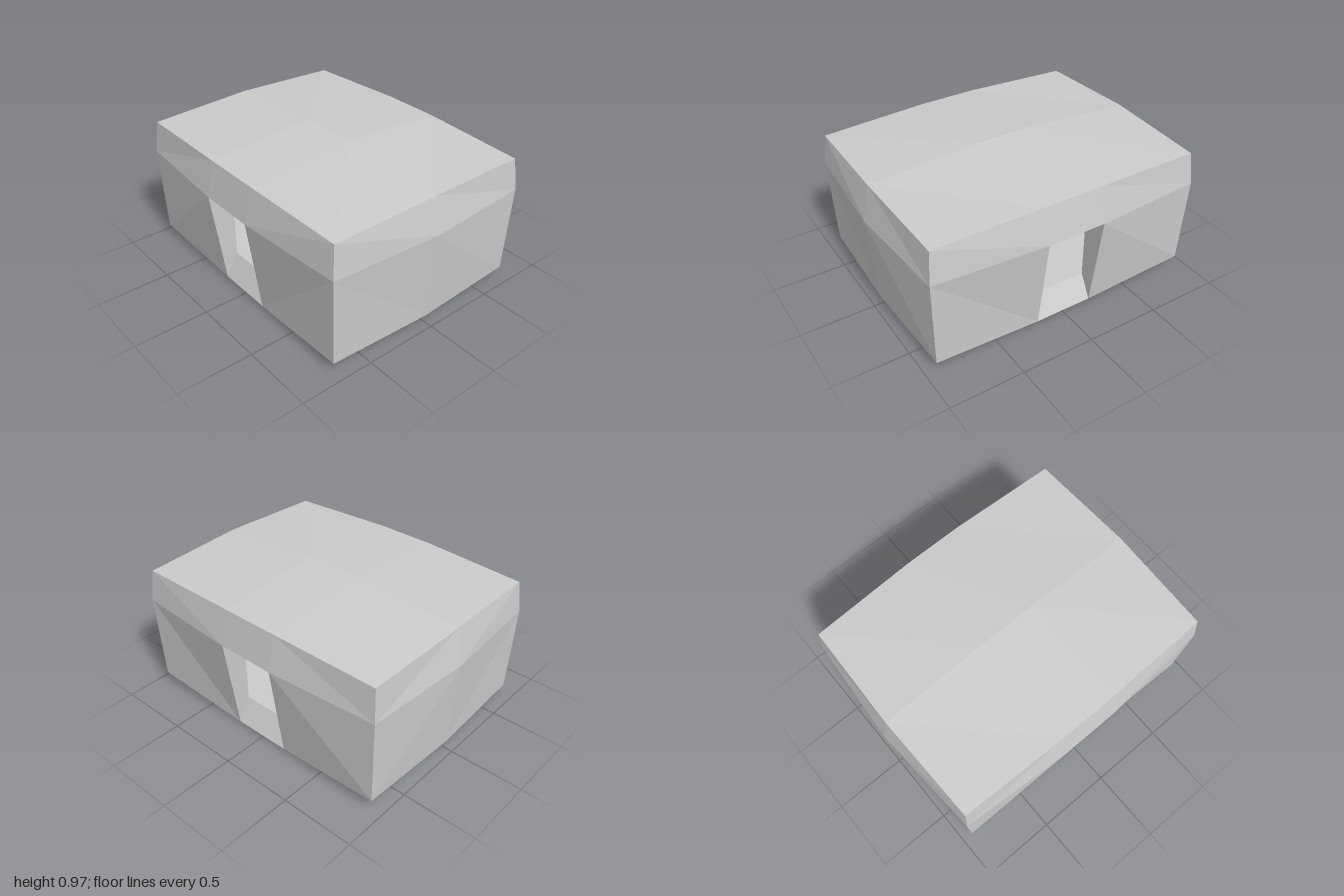
import * as THREE from 'three';

const DOOR = 0.2, LINTEL = 0.68;                              // door half width, door top
const ROOM = { x: 0.83, z: 0.62, floor: 0.177, top: 0.77 };   // inner room

// Mesh of flat quads; each quad is turned to face towards (or away from) a point
function panels(name, quads, point, towards) {
  const pos = [];
  for (const quad of quads) {
    const [a, b, c, d] = quad.map(p => new THREE.Vector3(...p));
    const normal = c.clone().sub(a).cross(d.clone().sub(b));
    const mid = a.clone().add(b).add(c).add(d).multiplyScalar(0.25);
    const facing = normal.dot(new THREE.Vector3(...point).sub(mid)) > 0;
    const order = facing === towards ? [a, b, c, a, c, d] : [a, c, b, a, d, c];
    for (const v of order) pos.push(v.x, v.y, v.z);
  }
  const geo = new THREE.BufferGeometry();
  geo.setAttribute('position', new THREE.Float32BufferAttribute(pos, 3));
  geo.computeVertexNormals();
  const mesh = new THREE.Mesh(geo, new THREE.MeshStandardMaterial({ color: 0xcccccc, flatShading: true }));
  mesh.name = name;
  return mesh;
}

// Bulging shell point: i = 0..3 across, j = 0..2 up, k = 0..2 back to front
function shellPoint(i, j, k) {
  const side = i === 0 || i === 3 ? 1 : 0;
  const end = k === 1 ? 0 : 1;
  const rim = j === 1 ? 0 : 1;
  const x = side ? [1, 0.95, 0.93][rim + end] : DOOR;
  let z = end ? [0.797, 0.747, 0.725][rim + side] : 0;
  if (end && !side && j === 0) z = 0.705;
  const y = [0.055 * side + 0.02 * end, LINTEL, [0.97, 0.92, 0.9][side + end]][j];
  return [i < 2 ? -x : x, y, k === 0 ? -z : z];
}

export function createModel() {
  const model = new THREE.Group();
  model.name = 'hut';
  const P = shellPoint;
  const centre = [0, 0.5, 0];

  // Roof and underside
  for (const [name, j] of [['roof', 2], ['underside', 0]]) {
    const quads = [];
    for (let i = 0; i < 3; i++)
      for (let k = 0; k < 2; k++)
        quads.push([P(i, j, k), P(i + 1, j, k), P(i + 1, j, k + 1), P(i, j, k + 1)]);
    model.add(panels(name, quads, centre, false));
  }

  // Side walls
  for (const [name, i] of [['rightWall', 0], ['leftWall', 3]]) {
    const quads = [];
    for (let j = 0; j < 2; j++)
      for (let k = 0; k < 2; k++)
        quads.push([P(i, j, k), P(i, j, k + 1), P(i, j + 1, k + 1), P(i, j + 1, k)]);
    model.add(panels(name, quads, centre, false));
  }

  const roomEnds = [];
  for (const [name, k] of [['back', 0], ['front', 2]]) {
    // End wall with the doorway left open
    const wall = [];
    for (let i = 0; i < 3; i++)
      for (let j = 0; j < 2; j++)
        if (i !== 1 || j !== 0)
          wall.push([P(i, j, k), P(i + 1, j, k), P(i + 1, j + 1, k), P(i, j + 1, k)]);
    model.add(panels(name + 'Wall', wall, centre, false));

    // Doorway: two jambs, flat lintel and sloping sill
    const z = k === 2 ? ROOM.z : -ROOM.z;
    const loop = [P(1, 0, k), P(2, 0, k), P(2, 1, k), P(1, 1, k)];
    const inner = [[-DOOR, ROOM.floor, z], [DOOR, ROOM.floor, z], [DOOR, LINTEL, z], [-DOOR, LINTEL, z]];
    const lining = loop.map((p, n) => [p, loop[(n + 1) % 4], inner[(n + 1) % 4], inner[n]]);
    model.add(panels(name + 'Doorway', lining, [0, 0.42, z * 1.12], true));

    // Inner end wall beside and above the door
    const rect = (x0, x1, y0, y1) => [[x0, y0, z], [x1, y0, z], [x1, y1, z], [x0, y1, z]];
    roomEnds.push(
      rect(-ROOM.x, -DOOR, ROOM.floor, ROOM.top),
      rect(DOOR, ROOM.x, ROOM.floor, ROOM.top),
      rect(-DOOR, DOOR, LINTEL, ROOM.top));
  }

  // Room: end walls, side walls, floor and ceiling
  const { x, z, floor, top } = ROOM;
  const level = y => [[-x, y, -z], [x, y, -z], [x, y, z], [-x, y, z]];
  const sideWall = s => [[s * x, floor, -z], [s * x, floor, z], [s * x, top, z], [s * x, top, -z]];
  model.add(panels('room', [...roomEnds, level(floor), level(top), sideWall(-1), sideWall(1)], centre, true));

  return model;
}
